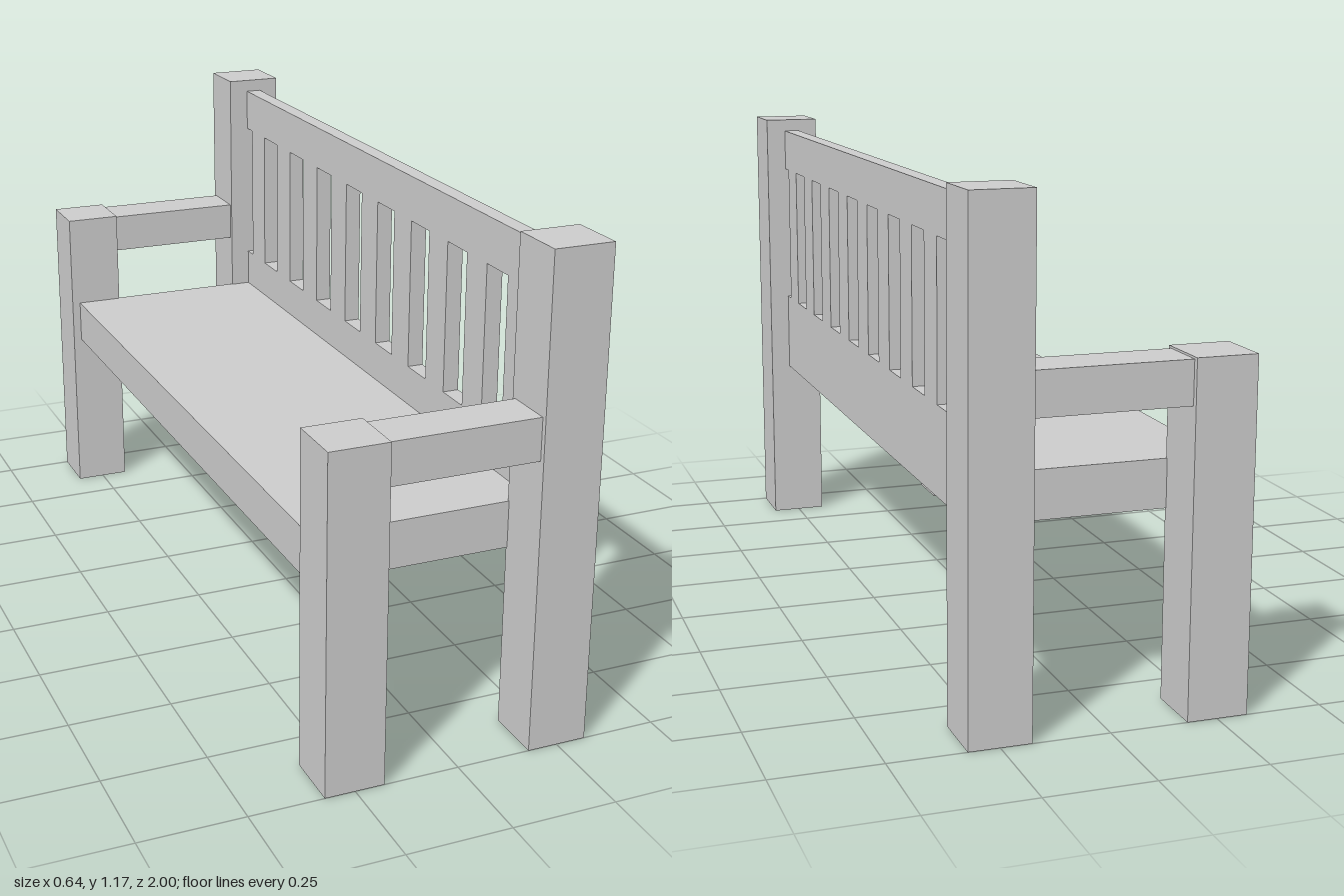
import * as THREE from 'three';

const material = new THREE.MeshStandardMaterial({ color: 0xcccccc, flatShading: true });

// Box given by its extents along each axis
function block(name, [x0, x1], [y0, y1], [z0, z1]) {
  const mesh = new THREE.Mesh(new THREE.BoxGeometry(x1 - x0, y1 - y0, z1 - z0), material);
  mesh.position.set((x0 + x1) / 2, (y0 + y1) / 2, (z0 + z1) / 2);
  mesh.name = name;
  return mesh;
}

export function createModel() {
  const bench = new THREE.Group();
  bench.name = 'bench';
  const end = 0.862; // half length between the posts

  // Seat slab
  bench.add(block('seat', [-0.3, 0.23], [0.445, 0.558], [-end, end]));

  // Backrest: two rails joined by upright slats
  const backrest = new THREE.Group();
  backrest.name = 'backrest';
  const depth = [0.23, 0.27];
  backrest.add(block('lowerBackRail', depth, [0.445, 0.657], [-end, end]));
  backrest.add(block('topBackRail', depth, [1.033, 1.143], [-end, end]));
  for (let i = -4; i <= 4; i++) {
    const z = i * 0.1925;
    backrest.add(block('backSlat', depth, [0.657, 1.033], [z - 0.048, z + 0.048]));
  }
  bench.add(backrest);

  // Posts and armrest at each end
  for (const s of [-1, 1]) {
    const span = (a, b) => (s > 0 ? [a, b] : [-b, -a]);
    bench.add(block('frontPost', [-0.322, -0.18], [0, 0.808], span(0.857, 1)));
    bench.add(block('backPost', [0.178, 0.322], [0, 1.175], span(0.857, 1)));
    bench.add(block('armrest', [-0.18, 0.178], [0.702, 0.803], span(0.868, 0.987)));
  }
  return bench;
}
